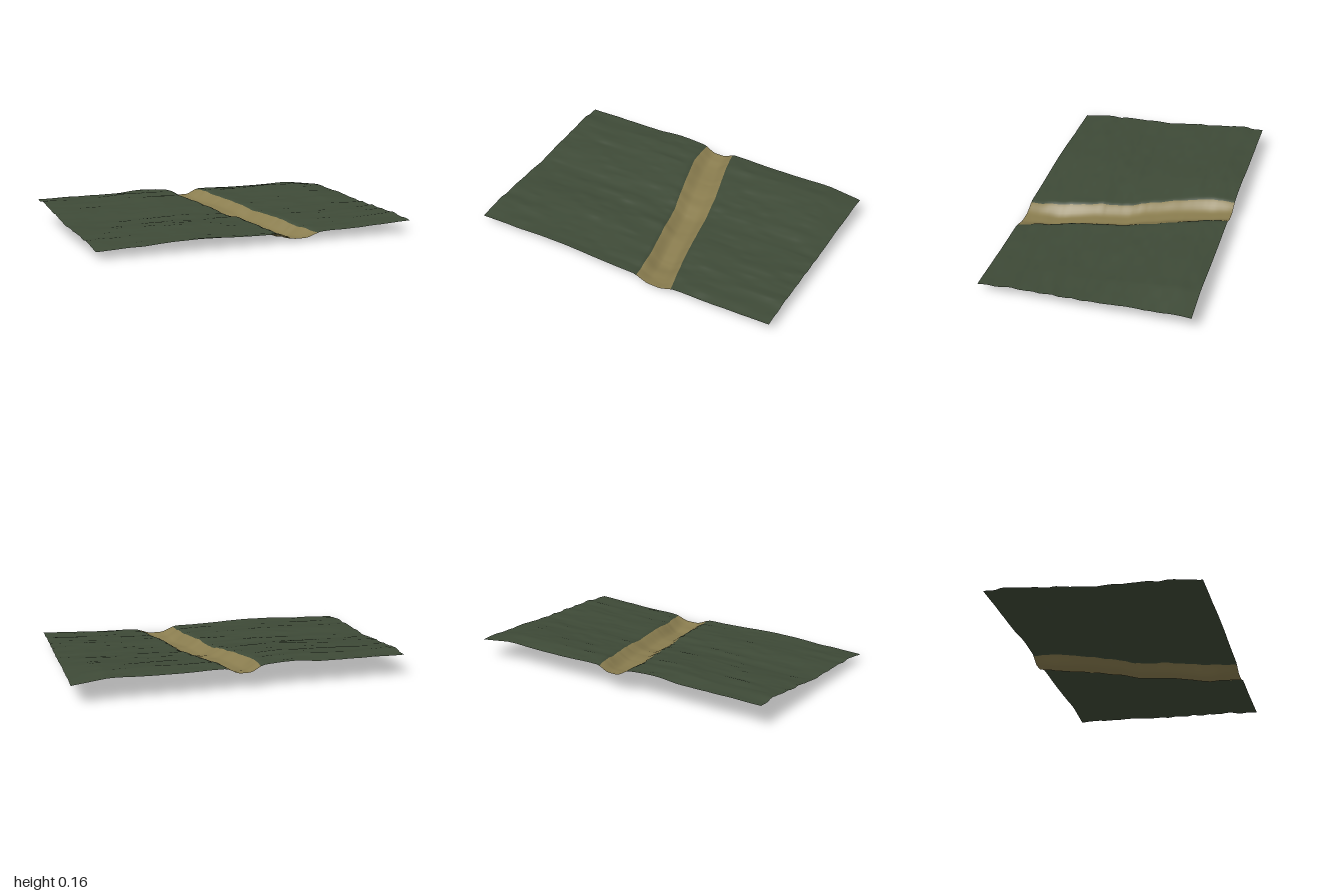
import * as THREE from 'three';

const HALF_DEPTH = 0.63;

// Smooth value noise from a seeded hash, range -1..1
const hash = (i, j) => {
  const s = Math.sin(i * 127.1 + j * 311.7) * 43758.5453;
  return (s - Math.floor(s)) * 2 - 1;
};
const ease = (t) => t * t * (3 - 2 * t);
function noise(x, z) {
  const i = Math.floor(x), j = Math.floor(z);
  const a = ease(x - i), b = ease(z - j), mix = THREE.MathUtils.lerp;
  return mix(mix(hash(i, j), hash(i + 1, j), a), mix(hash(i, j + 1), hash(i + 1, j + 1), a), b);
}

// Interpolate a list of [position, value] pairs
function curve(points, p) {
  let k = 1;
  while (k < points.length - 1 && p > points[k][0]) k++;
  const [p0, v0] = points[k - 1], [p1, v1] = points[k];
  return THREE.MathUtils.lerp(v0, v1, THREE.MathUtils.clamp((p - p0) / (p1 - p0), 0, 1));
}

// Edges of the sandy bed along z
const leftBank = [[-0.63, -0.105], [-0.45, -0.1], [-0.2, -0.035], [0, 0.02], [0.2, 0.06], [0.4, 0.1], [0.63, 0.13]];
const rightBank = [[-0.63, 0.09], [-0.45, 0.13], [-0.2, 0.2], [0, 0.24], [0.2, 0.275], [0.4, 0.31], [0.63, 0.365]];

// Ground height along the front and back edges, blend between them, and bed floor
const frontEdge = [[-1, 0.05], [-0.4, 0.062], [0, 0.055], [0.35, 0.052], [0.7, 0.062], [1, 0.08]];
const backEdge = [[-1, 0.138], [-0.6, 0.143], [-0.3, 0.155], [0, 0.145], [0.3, 0.14], [0.8, 0.148], [1, 0.122]];
const rise = [[-0.63, 1], [-0.5, 1.05], [-0.4, 0.93], [-0.2, 0.7], [-0.1, 0.53], [0, 0.4], [0.3, 0.3], [0.63, 0]];
const bedFloor = [[-0.63, 0.11], [-0.5, 0.09], [-0.3, 0.082], [-0.1, 0.06], [0, 0.037], [0.2, 0.03], [0.43, 0.003], [0.63, 0.02]];

function height(x, z) {
  const land = THREE.MathUtils.lerp(curve(frontEdge, x), curve(backEdge, x), curve(rise, z));
  const bumps = 0.005 * noise(x * 4 + 7, z * 16 + 3) + 0.0025 * noise(x * 11, z * 34);
  const l = curve(leftBank, z), r = curve(rightBank, z);
  const across = Math.min(1, Math.abs(x - (l + r) / 2) / ((r - l) * 0.62));
  const dip = ease(Math.min(1, (1 - across) * 1.25));
  return THREE.MathUtils.lerp(land, curve(bedFloor, z), dip) + bumps * (1 - 0.5 * dip);
}

// One strip of ground between two x limits
function strip(name, material, columns, xMin, xMax) {
  const geometry = new THREE.PlaneGeometry(1, 1, columns, 64);
  const pos = geometry.attributes.position, nor = geometry.attributes.normal;
  const e = 0.012, n = new THREE.Vector3();
  for (let i = 0; i < pos.count; i++) {
    const z = -pos.getY(i) * 2 * HALF_DEPTH;
    const x = THREE.MathUtils.lerp(xMin(z), xMax(z), pos.getX(i) + 0.5);
    pos.setXYZ(i, x, height(x, z), z);
    n.set(height(x - e, z) - height(x + e, z), 2 * e, height(x, z - e) - height(x, z + e)).normalize();
    nor.setXYZ(i, n.x, n.y, n.z);
  }
  const mesh = new THREE.Mesh(geometry, material);
  mesh.name = name;
  return mesh;
}

export function createModel() {
  const grass = new THREE.MeshStandardMaterial({ color: 0x3e4a37, side: THREE.DoubleSide });
  grass.name = 'darkGrass';
  const sand = new THREE.MeshStandardMaterial({ color: 0x8a7d4f, side: THREE.DoubleSide });
  sand.name = 'drySand';

  const left = (z) => curve(leftBank, z), right = (z) => curve(rightBank, z);
  const group = new THREE.Group();
  group.name = 'terrain';
  group.add(
    strip('grassWest', grass, 50, () => -1, left),
    strip('sandyBed', sand, 14, left, right),
    strip('grassEast', grass, 40, right, () => 1),
  );

  // Rest the lowest point on the ground
  const box = new THREE.Box3().setFromObject(group, true);
  group.children.forEach((m) => m.geometry.translate(0, -box.min.y, 0));
  return group;
}
